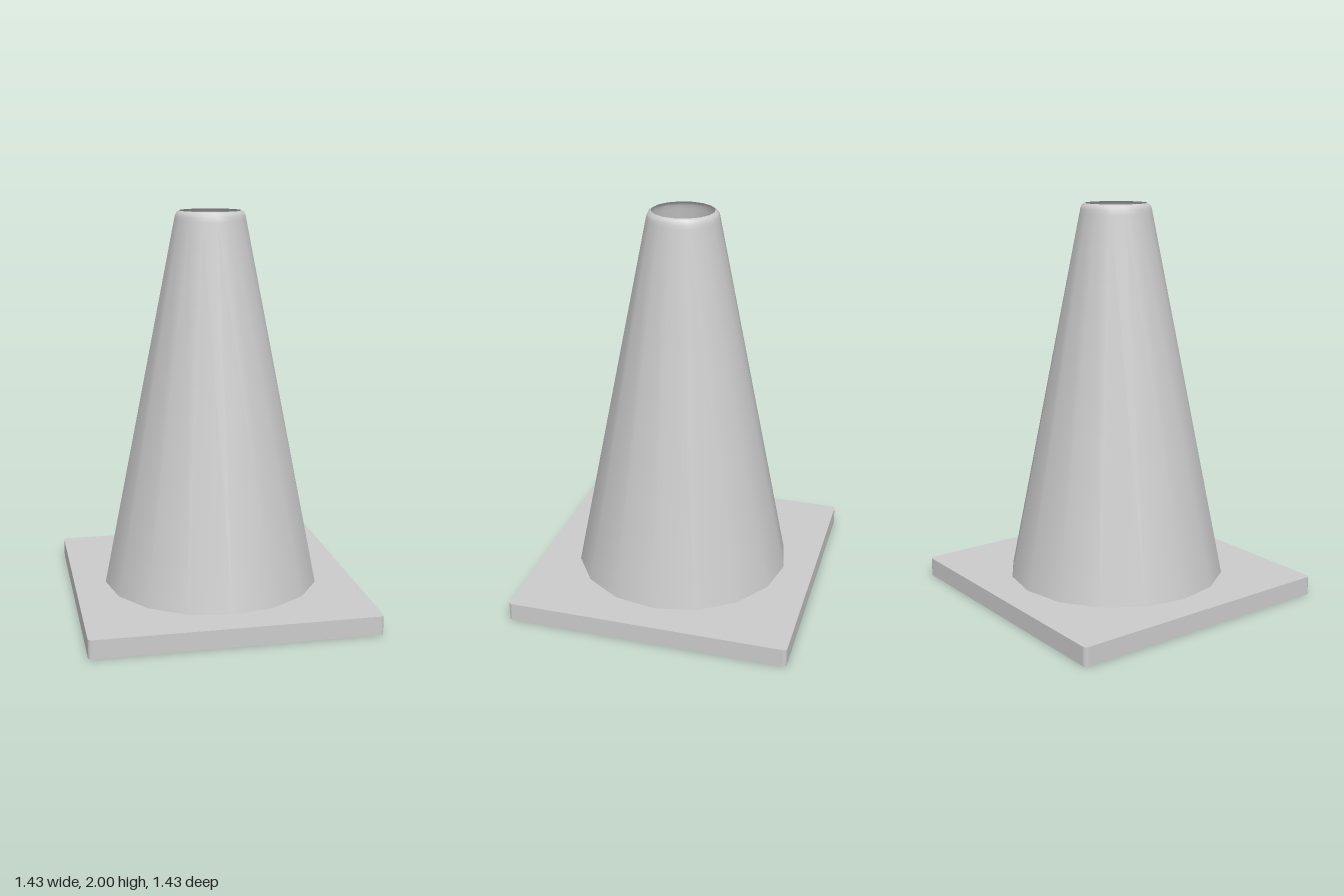
import * as THREE from 'three';

const SIDES = 16;
const BASE_HALF = 0.717, BASE_HEIGHT = 0.095, CORNER = 0.02;
const CONE_RADIUS = 0.555;

// Square with rounded corners and a 16-sided opening under the cone
function baseShape() {
  const h = BASE_HALF, c = h - CORNER;
  const shape = new THREE.Shape();
  shape.absarc(c, c, CORNER, 0, Math.PI / 2);
  shape.absarc(-c, c, CORNER, Math.PI / 2, Math.PI);
  shape.absarc(-c, -c, CORNER, Math.PI, Math.PI * 1.5);
  shape.absarc(c, -c, CORNER, Math.PI * 1.5, Math.PI * 2);
  shape.closePath();

  const ring = [];
  for (let i = 0; i < SIDES; i++) {
    const a = (-i / SIDES) * Math.PI * 2;
    ring.push(new THREE.Vector2(Math.cos(a) * CONE_RADIUS, Math.sin(a) * CONE_RADIUS));
  }
  shape.holes.push(new THREE.Path(ring));
  return shape;
}

export function createModel() {
  const group = new THREE.Group();
  group.name = 'trafficCone';
  const material = new THREE.MeshStandardMaterial({ color: 0xcccccc });
  const thin = new THREE.MeshStandardMaterial({ color: 0xcccccc, side: THREE.DoubleSide });

  // Flat square foot
  const baseGeometry = new THREE.ExtrudeGeometry(baseShape(), {
    depth: BASE_HEIGHT, bevelEnabled: false, curveSegments: 4,
  });
  baseGeometry.rotateX(-Math.PI / 2);
  const base = new THREE.Mesh(baseGeometry, material);
  base.name = 'base';
  group.add(base);

  // Hollow thin-walled cone, open at both ends, with a rounded lip
  const profile = [
    [CONE_RADIUS, BASE_HEIGHT], [0.182, 1.955], [0.178, 1.975], [0.171, 1.991], [0.156, 2],
  ].map(([r, y]) => new THREE.Vector2(r, y));
  const cone = new THREE.Mesh(new THREE.LatheGeometry(profile, SIDES), thin);
  cone.name = 'cone';
  group.add(cone);

  return group;
}
